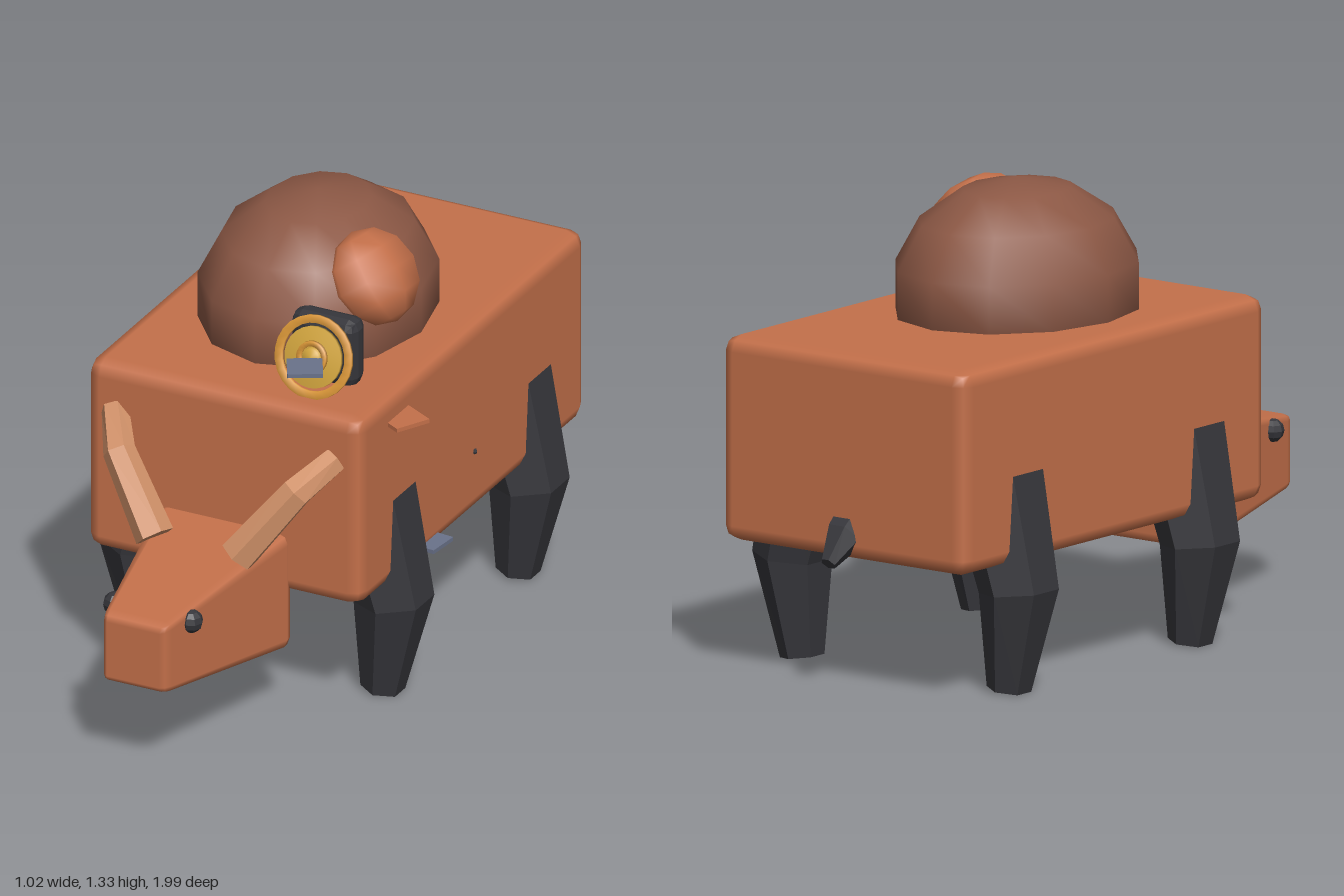
import * as THREE from 'three';
import { RoundedBoxGeometry } from 'three/addons/geometries/RoundedBoxGeometry.js';

const CX = -0.012; // symmetry line of the animal

const mat = (name, color, extra = {}) => {
  const m = new THREE.MeshStandardMaterial({ color, ...extra });
  m.name = name;
  return m;
};

// Six-sided faceted limb through rings of [x, y, z, radius]
function limb(rings, ref, phase = Math.PI / 6, sides = 6) {
  const pts = rings.map((r) => new THREE.Vector3(r[0], r[1], r[2]));
  const loops = pts.map((p, i) => {
    const t = pts[Math.min(i + 1, pts.length - 1)].clone().sub(pts[Math.max(i - 1, 0)]).normalize();
    const v = ref.clone().addScaledVector(t, -ref.dot(t)).normalize();
    const u = v.clone().cross(t);
    return Array.from({ length: sides }, (_, k) => {
      const a = phase + (k / sides) * Math.PI * 2;
      return p.clone().addScaledVector(u, Math.cos(a) * rings[i][3]).addScaledVector(v, Math.sin(a) * rings[i][3]);
    });
  });
  const tri = [];
  const last = loops.length - 1;
  for (let k = 0; k < sides; k++) {
    const n = (k + 1) % sides;
    for (let i = 0; i < last; i++) {
      const [a, b, c, d] = [loops[i][k], loops[i][n], loops[i + 1][k], loops[i + 1][n]];
      tri.push(a, b, c, b, d, c);
    }
    tri.push(pts[0], loops[0][n], loops[0][k], pts[last], loops[last][k], loops[last][n]);
  }
  const g = new THREE.BufferGeometry().setFromPoints(tri);
  g.computeVertexNormals();
  return g;
}

// Rounded box that narrows towards +z, with matching normals
function taperedBox(w, h, d, radius, endX, endY) {
  const g = new RoundedBoxGeometry(w, h, d, 1, radius);
  const p = g.attributes.position, nrm = g.attributes.normal;
  const v = new THREE.Vector3();
  for (let i = 0; i < p.count; i++) {
    const x = p.getX(i), y = p.getY(i), z = p.getZ(i), t = z / d + 0.5;
    const sx = 1 + (endX - 1) * t, sy = 1 + (endY - 1) * t;
    v.fromBufferAttribute(nrm, i);
    v.set(v.x / sx, v.y / sy,
      v.z - (x * (endX - 1) / d / sx) * v.x - (y * (endY - 1) / d / sy) * v.y).normalize();
    nrm.setXYZ(i, v.x, v.y, v.z);
    p.setXYZ(i, x * sx, y * sy, z);
  }
  return g;
}

export function createModel() {
  const model = new THREE.Group();
  model.name = 'bull';
  const hide = mat('hide', 0xc4704a);
  const hump = mat('hump brown', 0x8c5845);
  const dark = mat('charcoal', 0x36363b, { flatShading: true });
  const horn = mat('horn', 0xcf9068, { flatShading: true });
  const amber = mat('amber', 0xdc9838);
  const gold = mat('gold', 0xd2a53e);
  const steel = mat('steel', 0x6a728a);

  const add = (name, geo, material, x = 0, y = 0, z = 0, parent = model) => {
    const m = new THREE.Mesh(geo, material);
    m.name = name;
    m.position.set(x, y, z);
    parent.add(m);
    return m;
  };
  const X = new THREE.Vector3(1, 0, 0), Z = new THREE.Vector3(0, 0, 1);

  // Body and head
  add('body', new RoundedBoxGeometry(0.865, 0.585, 1.375, 1, 0.045), hide, CX, 0.672, -0.232);
  add('head', taperedBox(0.425, 0.37, 0.575, 0.035, 0.46, 0.56), hide, CX, 0.385, 0.7125);

  // Hump and the lump on its side
  add('hump', new THREE.SphereGeometry(1, 12, 7), hump, CX, 1.03, -0.125).scale.set(0.331, 0.31, 0.395);
  const lump = add('lump', new THREE.SphereGeometry(1, 8, 6), hide, 0.228, 1.175, 0);
  lump.scale.set(0.095, 0.14, 0.155);
  lump.rotation.set(0, -0.15, 0.6);

  for (const s of [1, -1]) {
    const side = s > 0 ? 'left' : 'right';
    // Legs
    for (const [name, z] of [['FrontLeg', 0.19], ['BackLeg', -0.63]]) {
      add(side + name, limb([
        [CX + s * 0.31, 0.64, z, 0.138],
        [CX + s * 0.4, 0.295, z, 0.113],
        [CX + s * 0.365, 0.012, z, 0.063],
      ], Z), dark);
    }
    // Horns
    add(side + 'Horn', limb([
      [CX + s * 0.13, 0.555, 0.615, 0.056],
      [CX + s * 0.278, 0.755, 0.545, 0.047],
      [CX + s * 0.345, 0.825, 0.44, 0.04],
    ], Z), horn);
    // Eyes
    add(side + 'Eye', new THREE.SphereGeometry(0.034, 8, 6), dark, CX + s * 0.12, 0.465, 0.877);
  }

  // Tail stub
  add('tail', limb([
    [CX, 0.48, -0.86, 0.062],
    [CX, 0.445, -0.91, 0.055],
    [CX, 0.378, -0.98, 0.023],
  ], X), dark);

  // Padded mount and tilted dial
  add('dialMount', new RoundedBoxGeometry(0.205, 0.205, 0.085, 1, 0.03), dark, 0.217, 1.073, 0.26);
  const dial = new THREE.Group();
  dial.name = 'dial';
  dial.position.set(0.217, 1.075, 0.345);
  dial.rotation.x = -0.29;
  model.add(dial);
  const disc = (name, points, material) => {
    const g = new THREE.LatheGeometry(points.map(([r, y]) => new THREE.Vector2(r, y)), 24);
    g.rotateX(Math.PI / 2);
    add(name, g, material, 0, 0, 0, dial);
  };
  disc('dialRim', [[0.097, -0.005], [0.12, -0.005], [0.12, 0.005], [0.097, 0.005], [0.097, -0.005]], amber);
  disc('dialPlate', [[0, -0.004], [0.088, -0.004], [0.088, 0.008], [0, 0.012]], gold);
  disc('dialHub', [[0.032, 0.008], [0.048, 0.008], [0.046, 0.02], [0.032, 0.02], [0.032, 0.008]], amber);
  disc('dialCore', [[0.03, 0.008], [0.026, 0.024], [0, 0.026]], gold);

  // Small loose plates: pointer, shoulder fin and belly fin
  const plate = (name, size, material, x, y, z, turn) => {
    add(name, new THREE.BoxGeometry(size, 0.012, size), material, x, y, z).rotation.y = turn;
  };
  plate('dialPointer', 0.1, steel, 0.231, 1.08, 0.427, 0.5);
  plate('shoulderFin', 0.11, hide, 0.438, 0.886, 0.237, -0.5);
  plate('bellyFin', 0.1, steel, 0.412, 0.405, 0.028, -0.1);

  // Tiny stud on the flank
  add('stud', new THREE.SphereGeometry(0.009, 6, 4), dark, 0.42, 0.57, -0.235);

  return model;
}
